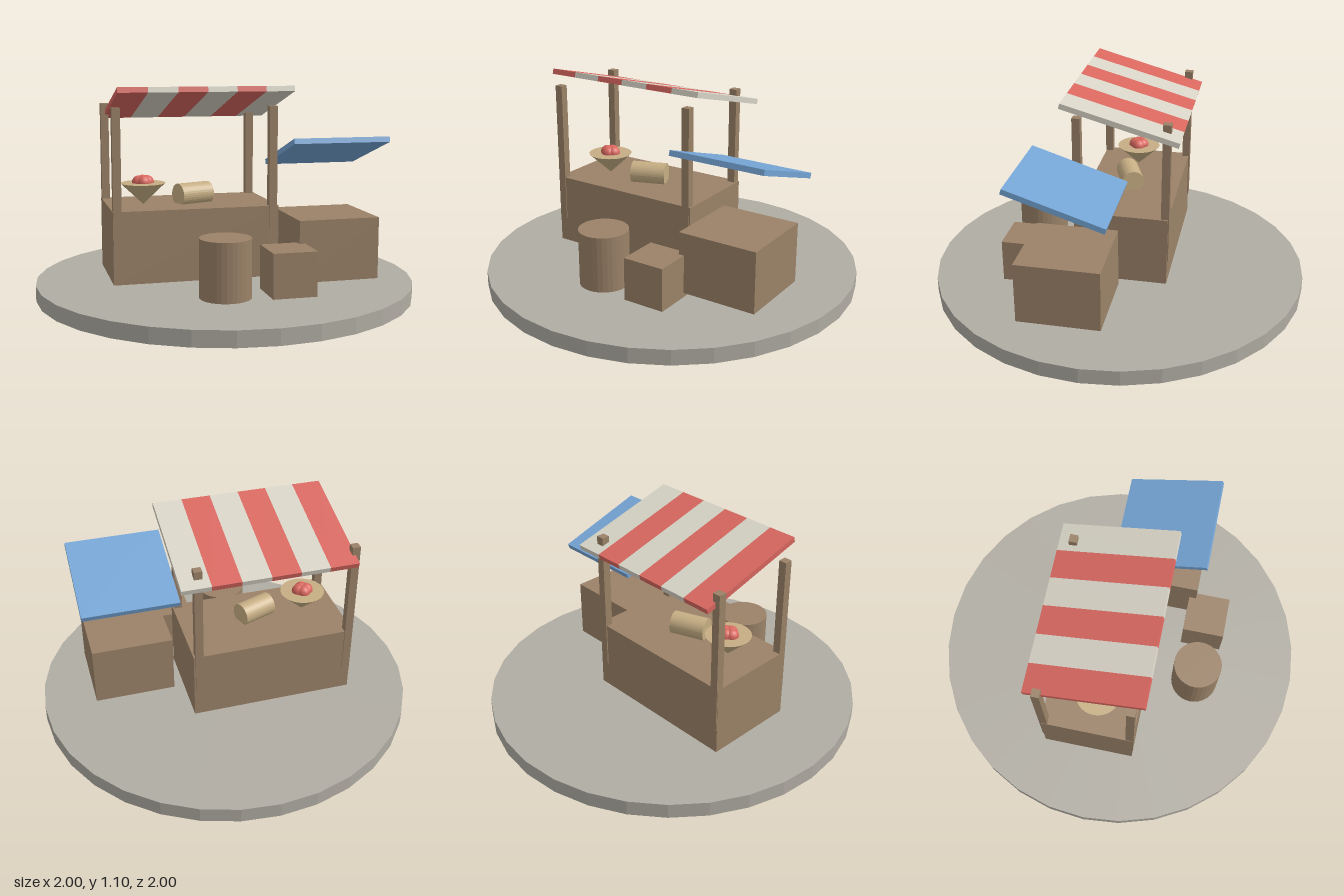
import * as THREE from 'three';

const material = (name, color, flat = false) => {
  const m = new THREE.MeshStandardMaterial({ color });
  m.name = name;
  m.flatShading = flat;
  return m;
};

export function createModel() {
  const stone = material('stone', 0xb0aca3, true);
  const wood = material('wood', 0x9b8268, true);
  const red = material('red', 0xd8675f);
  const cream = material('cream', 0xd7d3c6);
  const blue = material('blue', 0x74a4d4);
  const straw = material('straw', 0xc6ae84, true);

  const model = new THREE.Group();
  model.name = 'marketStall';

  const add = (name, geometry, mat, x, y, z, parent = model) => {
    const mesh = new THREE.Mesh(geometry, mat);
    mesh.name = name;
    mesh.position.set(x, y, z);
    parent.add(mesh);
    return mesh;
  };
  // Box given by its extents on each axis
  const box = (name, mat, [x0, x1], [y0, y1], [z0, z1]) =>
    add(name, new THREE.BoxGeometry(x1 - x0, y1 - y0, z1 - z0), mat,
      (x0 + x1) / 2, (y0 + y1) / 2, (z0 + z1) / 2);

  // Round ground slab
  add('base', new THREE.CylinderGeometry(1, 1, 0.08, 32), stone, 0, 0.04, 0);

  // Counter, with posts standing slightly proud of its front and back
  box('counter', wood, [-0.622, 0.243], [0.108, 0.482], [-0.295, 0.195]);
  for (const x of [-0.599, 0.213])
    for (const z of [-0.28, 0.178])
      box('post', wood, [x - 0.021, x + 0.021], [0.24, 1.0], [z - 0.021, z + 0.021]);

  // Striped awning, raised at the front
  const awning = new THREE.Group();
  awning.name = 'stripedAwning';
  awning.position.set(-0.1425, 1.009, -0.056);
  awning.rotation.x = -0.265;
  model.add(awning);
  const stripe = 0.151;
  for (let i = 0; i < 6; i++)
    add('awningStripe', new THREE.BoxGeometry(stripe, 0.028, 0.615),
      i % 2 ? cream : red, (i - 2.5) * stripe, 0, 0, awning);

  // Blue side awning
  const side = add('blueAwning', new THREE.BoxGeometry(0.51, 0.028, 0.513), blue,
    0.511, 0.757, 0.158);
  side.rotation.x = -0.31;

  // Crates and barrel
  box('largeCrate', wood, [0.297, 0.727], [0.108, 0.43], [-0.05, 0.38]);
  box('smallCrate', wood, [0.1, 0.327], [0.085, 0.312], [0.341, 0.568]);
  add('barrel', new THREE.CylinderGeometry(0.13, 0.13, 0.297, 32), wood, -0.11, 0.232, 0.457);

  // Cloth roll lying across the counter
  const roll = add('clothRoll', new THREE.CylinderGeometry(0.06, 0.06, 0.188, 32), straw,
    -0.164, 0.528, -0.025);
  roll.rotation.set(0, 0.36, Math.PI / 2);

  // Pointed bowl of fruit
  const bowl = add('fruitBowl', new THREE.ConeGeometry(0.118, 0.112, 32), straw,
    -0.433, 0.539, -0.025);
  bowl.rotation.x = Math.PI;
  for (let i = 0; i < 4; i++) {
    const a = i * Math.PI / 2;
    add('fruit', new THREE.SphereGeometry(0.037, 20, 14), red,
      -0.433 + 0.021 * Math.cos(a), 0.598, -0.025 + 0.018 * Math.sin(a));
  }

  return model;
}
